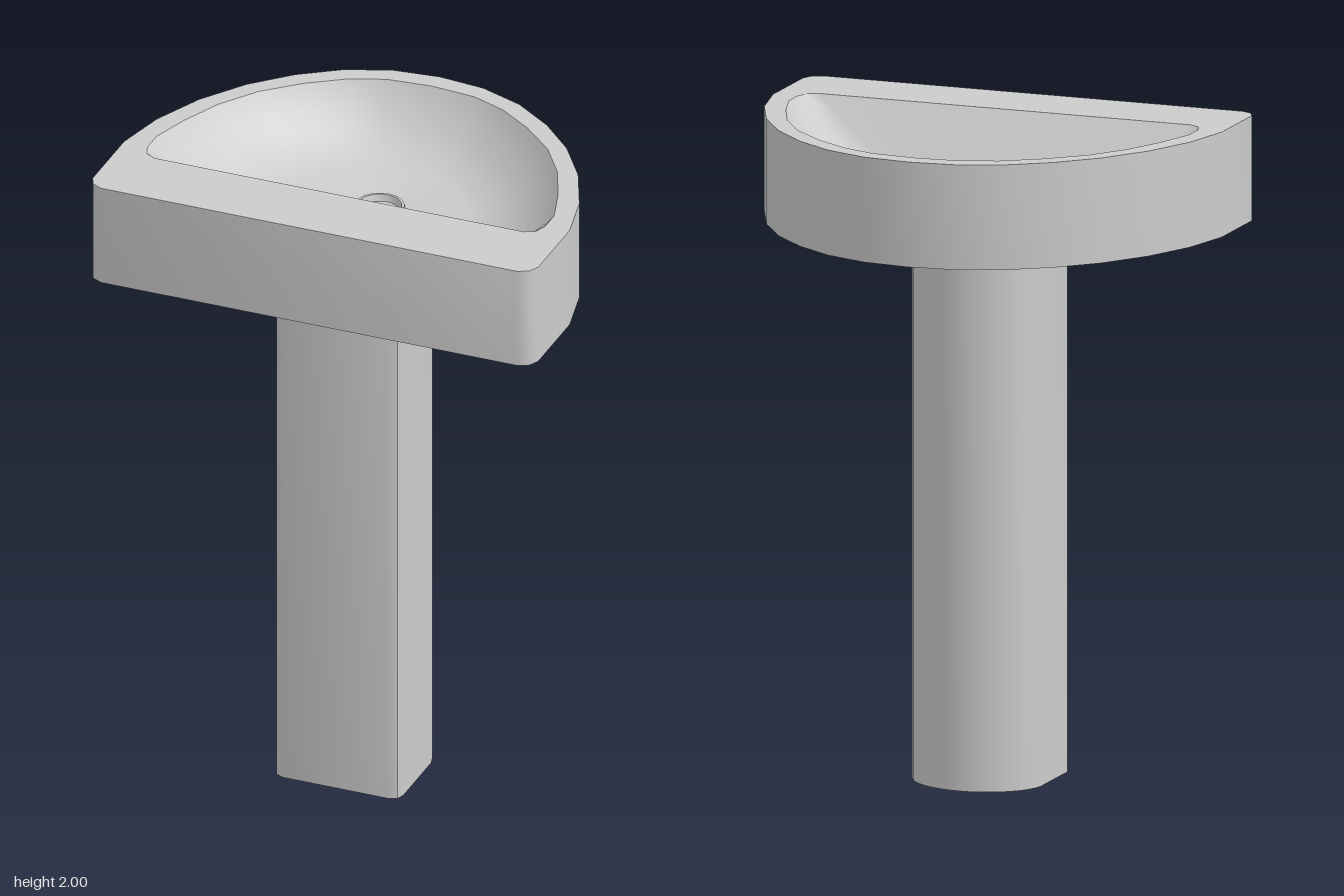
import * as THREE from 'three';
import { toCreasedNormals } from 'three/addons/utils/BufferGeometryUtils.js';

// Mirror a half outline (back centre -> +x side -> front) into a closed [x, z] loop
function closeOutline(half) {
  const back = half.filter(([x]) => x > 0).reverse().map(([x, z]) => [-x, z]);
  return [...half, ...back];
}

// Skin a list of closed rings of [x, y, z] points
function loft(rings) {
  const n = rings[0].length;
  const index = [];
  for (let r = 0; r < rings.length - 1; r++) {
    for (let i = 0; i < n; i++) {
      const j = (i + 1) % n;
      const a = r * n + i, b = r * n + j, c = a + n, d = b + n;
      index.push(a, b, c, b, d, c);
    }
  }
  const g = new THREE.BufferGeometry();
  g.setAttribute('position', new THREE.Float32BufferAttribute(rings.flat(2), 3));
  g.setIndex(index);
  g.computeVertexNormals();
  return g;
}

const atHeight = (outline, y) => outline.map(([x, z]) => [x, y, z]);

// Flat cap facing up or down, with an optional hole
function cap(outline, y, up, hole) {
  const s = up ? -1 : 1;
  const to2 = (o) => o.map(([x, z]) => new THREE.Vector2(x, s * z));
  const shape = new THREE.Shape(to2(outline));
  if (hole) shape.holes.push(new THREE.Path(to2(hole)));
  return new THREE.ShapeGeometry(shape).rotateX(s * Math.PI / 2).translate(0, y, 0);
}

export function createModel() {
  const model = new THREE.Group();
  const ceramic = new THREE.MeshStandardMaterial({ color: 0xcccccc });
  ceramic.name = 'grey ceramic';
  const add = (name, geometry, parent) => {
    const mesh = new THREE.Mesh(geometry, ceramic);
    mesh.name = name;
    parent.add(mesh);
  };

  const TOP = 2, UNDER = 1.68, FLOOR = 1.8, DRAIN_Z = -0.04;

  // D-shaped outlines of the basin and its bowl
  const outer = closeOutline([
    [0, -0.512], [0.145, -0.497], [0.282, -0.445], [0.405, -0.36], [0.515, -0.25], [0.61, -0.11],
    [0.68, 0.05], [0.717, 0.215], [0.717, 0.46], [0.702, 0.492], [0.67, 0.508],
  ]);
  const inner = closeOutline([
    [0, -0.45], [0.142, -0.437], [0.25, -0.395], [0.36, -0.32], [0.465, -0.223], [0.545, -0.105],
    [0.602, 0.027], [0.64, 0.15], [0.64, 0.22], [0.626, 0.258], [0.595, 0.275],
    [0.4, 0.275], [0.2, 0.275], [0, 0.275],
  ]);

  const basin = new THREE.Group();
  basin.name = 'basin';
  model.add(basin);
  add('basinWall', toCreasedNormals(loft([atHeight(outer, TOP), atHeight(outer, UNDER)]), 0.7), basin);
  add('basinRim', cap(outer, TOP, true, inner), basin);
  add('basinUnderside', cap(outer, UNDER, false), basin);

  // Bowl: rounded at the back and sides, straight slope along the front
  const rings = [inner.map(([x, z]) => {
    const a = Math.atan2(z - DRAIN_Z, x);
    return [0.07 * Math.cos(a), FLOOR, DRAIN_Z + 0.07 * Math.sin(a)];
  })];
  for (const [s, drop] of [[0.5, 0.185], [0.6, 0.17], [0.7, 0.148], [0.8, 0.115], [0.9, 0.067], [0.96, 0.03], [1, 0]]) {
    rings.push(inner.map(([x, z]) => {
      const front = THREE.MathUtils.clamp((z - 0.2) / 0.075, 0, 1);
      const depth = THREE.MathUtils.lerp(drop, 0.37 * (1 - s), front);
      return [x * s, TOP - depth, DRAIN_Z + (z - DRAIN_Z) * s];
    }));
  }
  add('bowl', loft(rings), basin);

  // Drain ring with a sunken plug
  const profile = [[0.076, 1.797], [0.074, 1.806], [0.066, 1.806], [0.06, 1.785], [0, 1.785]];
  const drain = new THREE.LatheGeometry(profile.map(([x, y]) => new THREE.Vector2(x, y)), 28);
  add('drain', toCreasedNormals(drain.translate(0, 0, DRAIN_Z), 0.6), basin);

  // Pedestal: flat front, softened corners, bowed back
  const bow = new THREE.CubicBezierCurve(
    new THREE.Vector2(0, -0.098), new THREE.Vector2(0.09, -0.098),
    new THREE.Vector2(0.19, -0.04), new THREE.Vector2(0.203, 0.05));
  const column = closeOutline([
    ...bow.getPoints(8).map((p) => [p.x, p.y]),
    [0.203, 0.268], [0.194, 0.292], [0.17, 0.302],
  ]);
  const pedestal = new THREE.Group();
  pedestal.name = 'pedestal';
  model.add(pedestal);
  add('pedestalWall', toCreasedNormals(loft([atHeight(column, UNDER), atHeight(column, 0)]), 0.7), pedestal);
  add('pedestalFoot', cap(column, 0, false), pedestal);

  return model;
}
